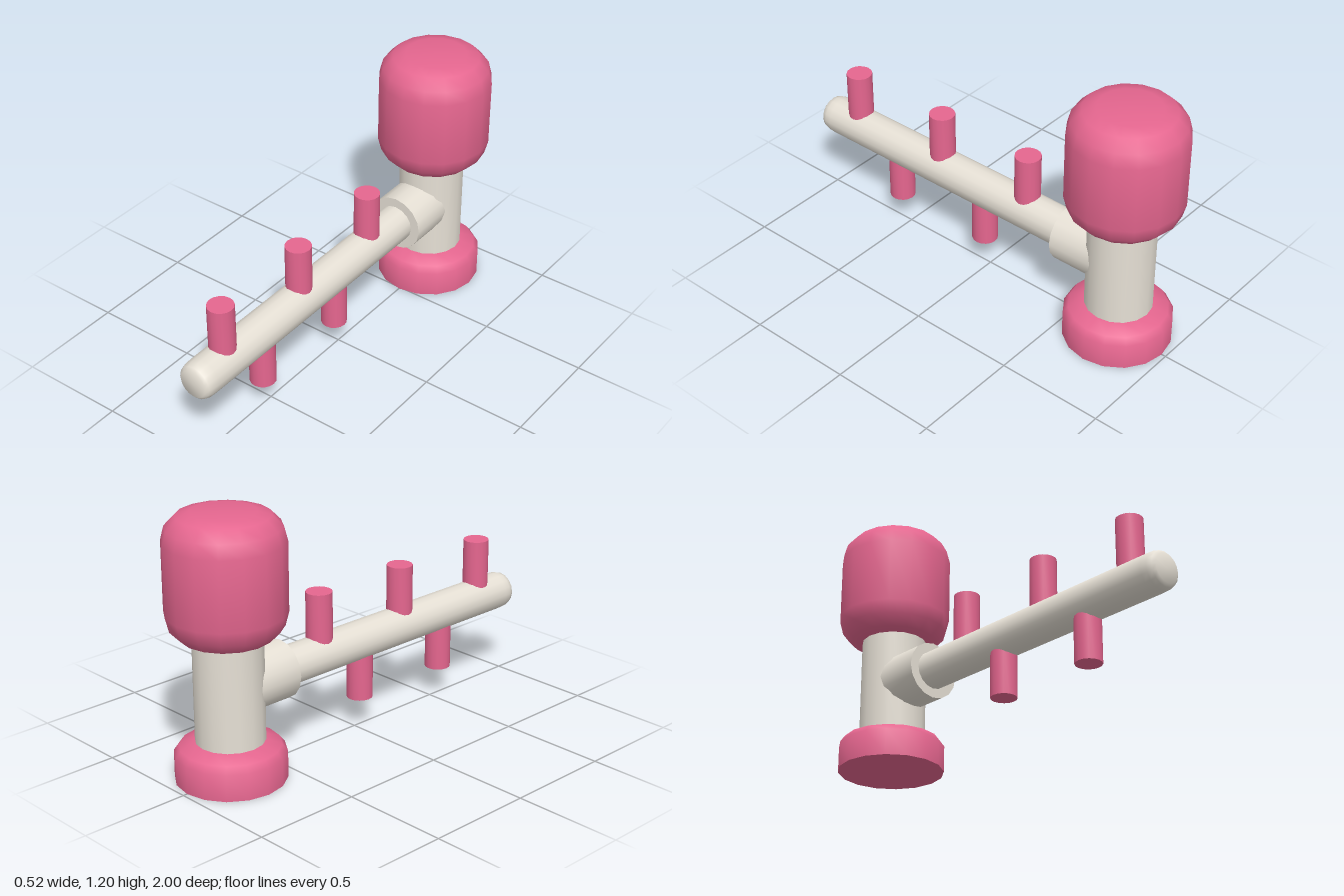
import * as THREE from 'three';
import { toCreasedNormals } from 'three/addons/utils/BufferGeometryUtils.js';

const pink = new THREE.MeshStandardMaterial({ color: 0xe5668f });
const cream = new THREE.MeshStandardMaterial({ color: 0xe6e0d5 });
const POST_Z = -0.735, ARM_Y = 0.418;

// Closed turned part from [radius, height] points, listed bottom to top
function turned(name, profile, material, sides = 16) {
  const points = [[0, profile[0][1]], ...profile, [0, profile.at(-1)[1]]];
  const lathe = new THREE.LatheGeometry(points.map(([r, y]) => new THREE.Vector2(r, y)), sides);
  const mesh = new THREE.Mesh(toCreasedNormals(lathe, 0.75), material);
  mesh.name = name;
  return mesh;
}

export function createModel() {
  const model = new THREE.Group();
  model.name = 'peggedArmStand';

  // Upright: bevelled foot, post and rounded head
  const upright = new THREE.Group();
  upright.name = 'upright';
  upright.position.z = POST_Z;
  const head = turned('head', [
    [0.14, 0.638], [0.2, 0.652], [0.246, 0.7], [0.262, 0.762],
    [0.262, 1.071], [0.246, 1.133], [0.2, 1.181], [0.14, 1.196],
  ], pink);
  head.position.z = -0.004;
  upright.add(
    turned('base', [[0.245, 0], [0.245, 0.122], [0.222, 0.153], [0.15, 0.178]], pink),
    turned('post', [[0.153, 0.1], [0.153, 0.75]], cream),
    head,
  );
  model.add(upright);

  // Horizontal arm with rounded tip, and the collar joining it to the post
  const arm = turned('arm', [
    [0.089, -0.6], [0.089, 0.935], [0.087, 0.965], [0.08, 0.988], [0.066, 1],
  ], cream);
  const collar = turned('collar', [[0.134, -0.73], [0.134, -0.445]], cream);
  for (const part of [arm, collar]) {
    part.rotation.x = Math.PI / 2;
    part.position.y = ARM_Y;
    model.add(part);
  }

  // Pegs alternate above and below the arm
  const addPeg = (name, z, bottom, top) => {
    const peg = turned(name, [[0.06, bottom], [0.06, top]], pink);
    peg.position.z = z;
    model.add(peg);
  };
  [0.805, 0.287, -0.215].forEach((z, i) => addPeg(`upperPeg${i + 1}`, z, ARM_Y, 0.714));
  [0.55, 0.033].forEach((z, i) => addPeg(`lowerPeg${i + 1}`, z, 0.14, ARM_Y));

  return model;
}
